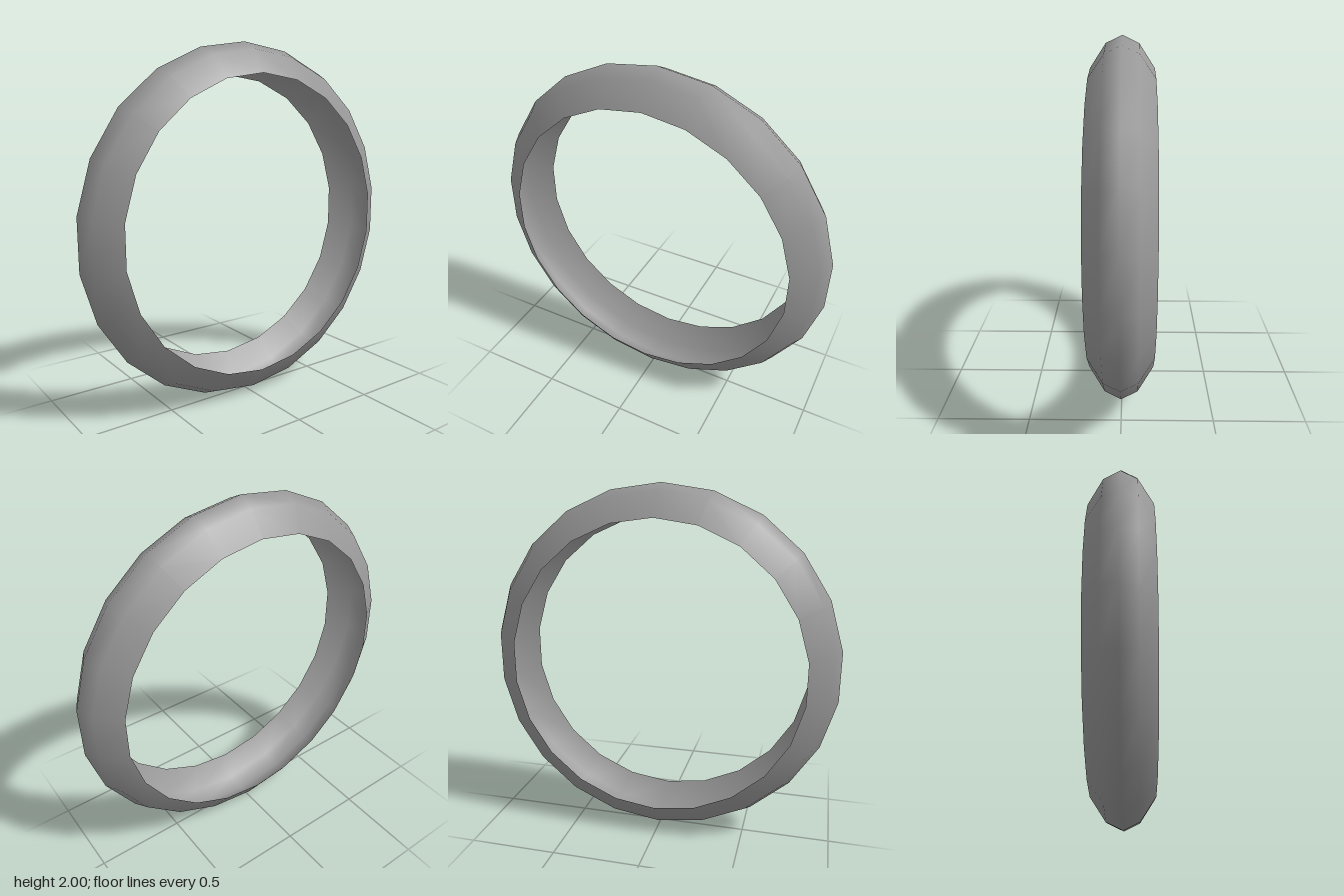
import * as THREE from 'three';

export function createModel() {
  const group = new THREE.Group();
  group.name = 'ring';

  // Domed band cross-section (radius, offset along the axis), open on the inside
  const profile = [
    [0.83, -0.172], [0.958, -0.088], [1, 0], [0.958, 0.088], [0.83, 0.172],
  ].map(([r, a]) => new THREE.Vector2(r, a));

  // Spun in 22 steps with a corner at the very top, then laid along x
  const geometry = new THREE.LatheGeometry(profile, 22, Math.PI / 2);
  geometry.rotateZ(Math.PI / 2);
  geometry.translate(0, 1, 0);

  const band = new THREE.Mesh(
    geometry,
    new THREE.MeshStandardMaterial({ color: 0x999999, side: THREE.DoubleSide }),
  );
  band.name = 'band';
  group.add(band);
  return group;
}
